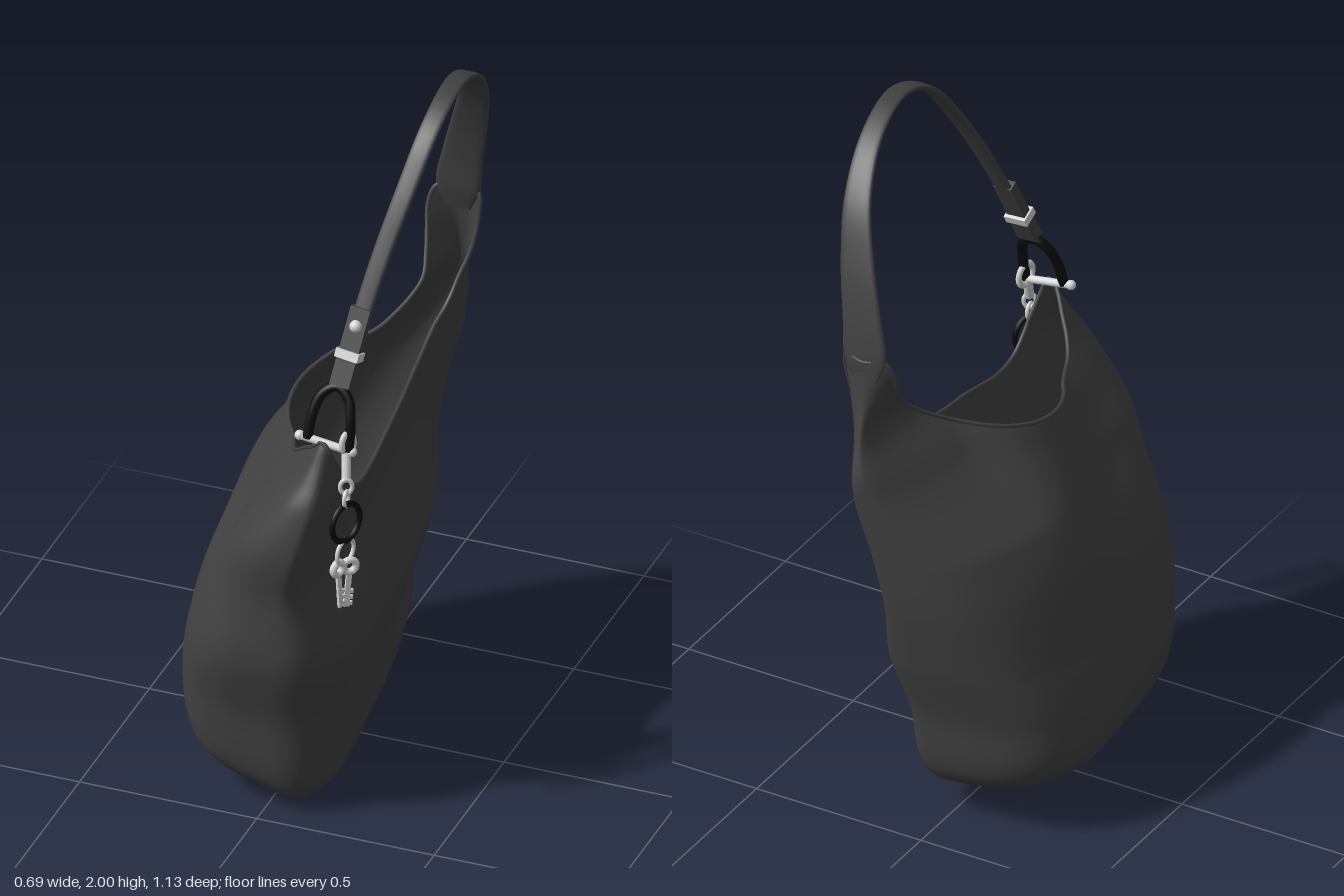
import * as THREE from 'three';

const V = (x, y, z) => new THREE.Vector3(x, y, z);
const clamp01 = t => Math.min(Math.max(t, 0), 1);
const mat = (name, color, side = THREE.FrontSide) => {
  const m = new THREE.MeshStandardMaterial({ color, side });
  m.name = name;
  return m;
};

// Smooth interpolation through rows whose first entry is the key
function sample(rows, t, col) {
  let i = 0;
  while (i < rows.length - 2 && t > rows[i + 1][0]) i++;
  const slope = k => {
    const a = rows[Math.max(k - 1, 0)], b = rows[Math.min(k + 1, rows.length - 1)];
    return (b[col] - a[col]) / (b[0] - a[0]);
  };
  const p = rows[i], q = rows[i + 1], h = q[0] - p[0];
  const u = clamp01((t - p[0]) / h), u2 = u * u, u3 = u2 * u;
  return (2 * u3 - 3 * u2 + 1) * p[col] + (u3 - 2 * u2 + u) * h * slope(i)
    + (3 * u2 - 2 * u3) * q[col] + (u3 - u2) * h * slope(i + 1);
}

// Skin closed rings of points
function loft(rings) {
  const n = rings[0].length, pos = [], idx = [];
  rings.forEach(r => r.forEach(p => pos.push(p.x, p.y, p.z)));
  for (let i = 0; i < rings.length - 1; i++) {
    for (let j = 0; j < n; j++) {
      const a = i * n + j, c = i * n + (j + 1) % n, b = a + n, d = c + n;
      idx.push(a, b, c, b, d, c);
    }
  }
  const g = new THREE.BufferGeometry();
  g.setAttribute('position', new THREE.Float32BufferAttribute(pos, 3));
  g.setIndex(idx);
  g.computeVertexNormals();
  return g;
}

// Bag sections: height, end centre x, low x, high x, back z, front z, roundness
const SECTIONS = [
  [0.00, 0.02, -0.22, 0.10, -0.25, 0.36, 0.60],
  [0.03, 0.00, -0.31, 0.14, -0.34, 0.425, 0.55],
  [0.10, -0.02, -0.35, 0.17, -0.39, 0.47, 0.52],
  [0.30, -0.01, -0.352, 0.195, -0.42, 0.50, 0.57],
  [0.50, 0.03, -0.315, 0.228, -0.47, 0.55, 0.65],
  [0.70, 0.06, -0.255, 0.195, -0.515, 0.545, 0.75],
  [0.85, 0.10, -0.185, 0.195, -0.535, 0.565, 0.80],
  [1.00, 0.14, -0.10, 0.222, -0.555, 0.54, 0.88],
  [1.06, 0.155, -0.07, 0.222, -0.56, 0.51, 0.92],
  [1.10, 0.16, -0.04, 0.222, -0.56, 0.49, 0.95],
  [1.20, 0.17, 0.04, 0.235, -0.53, 0.42, 1.00],
  [1.30, 0.175, 0.05, 0.275, -0.505, 0.15, 1.00],
  [1.42, 0.18, 0.05, 0.30, -0.488, -0.20, 1.00],
];
// Rim height by angle (0 = +x side, 90 = front, 270 = back)
const RIM = [[0, 1.02], [30, 0.97], [60, 1.09], [90, 1.17], [120, 1.12], [150, 1.03], [180, 1.06],
  [210, 1.18], [227, 1.31], [242, 1.42], [270, 1.42], [294, 1.42], [302, 1.32], [314, 1.18],
  [332, 1.10], [360, 1.02]];

const bump = (y, z, y0, z0, sy, sz) => Math.exp(-(((y - y0) / sy) ** 2) - ((z - z0) / sz) ** 2);

function bagPoint(deg, v) {
  const y = sample(RIM, deg, 1) * v ** 1.3;
  const [xc, xl, xr, z0, z1, e] = [1, 2, 3, 4, 5, 6].map(c => sample(SECTIONS, y, c));
  const a = deg * Math.PI / 180, cos = Math.cos(a), sin = Math.sin(a);
  const l = Math.max(0, -cos) ** e;
  const r = Math.max(0, cos) ** (y > 0.7 ? e * (1 - 0.3 * clamp01((y - 0.7) / 0.3)) : e);
  const z = (z0 + z1) / 2 + Math.sign(sin) * Math.abs(sin) ** e * (z1 - z0) / 2;
  let x = xc + r * (xr - xc) - l * (xc - xl);
  // both side panels slant
  x += 0.16 * Math.max(0, z + 0.2) * l * Math.max(0, 1 - y);
  x -= 0.09 * Math.max(0, 0.3 - z) * r * clamp01((1.3 - y) / 0.3) * clamp01((z + 0.5) / 0.2);
  // opening pinches toward both ends
  x += l * Math.min(0.085, 1.6 * (z - 0.02) ** 2) * clamp01((y - 0.85) / 0.2) * clamp01((1.38 - y) / 0.15);
  // soft folds
  x += l * (0.06 * bump(y, z, 0.84, 0.28, 0.13, 0.18) - 0.015 * bump(y, z, 0.8, -0.1, 0.15, 0.15));
  x -= r * (0.02 * bump(y, z, 0.75, 0.28, 0.1, 0.18) + 0.012 * bump(y, z, 0.28, -0.25, 0.07, 0.12));
  // sagging, tilted base
  const f = Math.max(0, 1 - y / 0.5);
  return V(x, y + f * Math.hypot(0.33 * Math.max(0, 0.06 - x), 0.11 * Math.max(0, 0.28 - z)), z);
}

// Flat band swept along a path; stations are x, y, z, width, thickness
function band(stations) {
  const path = new THREE.CatmullRomCurve3(stations.map(s => V(s[0], s[1], s[2])));
  const rows = stations.map((s, i) => [i / (stations.length - 1), s[3], s[4]]);
  const rings = [];
  for (let i = 0; i <= 60; i++) {
    const t = i / 60, p = path.getPoint(t), T = path.getTangent(t);
    const W = V(1, 0, 0).addScaledVector(T, -T.x).normalize(), N = W.clone().cross(T);
    const w = sample(rows, t, 1) / 2, h = sample(rows, t, 2) / 2, ring = [];
    for (let j = 0; j < 16; j++) {
      const a = j / 16 * Math.PI * 2, c = Math.cos(a), s = Math.sin(a);
      ring.push(p.clone().addScaledVector(W, w * Math.sign(c) * Math.abs(c) ** 0.6)
        .addScaledVector(N, -h * Math.sign(s) * Math.abs(s) ** 0.6));
    }
    rings.push(ring);
  }
  return loft(rings);
}

export function createModel() {
  const model = new THREE.Group();
  model.name = 'shoulderBag';
  const leather = mat('charcoal leather', 0x414141, THREE.DoubleSide);
  const silver = mat('silver metal', 0xd6d6d6);
  const black = mat('black metal', 0x0a0a0a);

  const add = (name, geo, m, pos, rot, parent = model) => {
    const mesh = new THREE.Mesh(geo, m);
    mesh.name = name;
    if (pos) mesh.position.set(...pos);
    if (rot) mesh.rotation.set(...rot);
    parent.add(mesh);
    return mesh;
  };
  const rod = (name, a, b, r, m) => {
    const A = V(...a), B = V(...b), d = B.clone().sub(A);
    const mesh = add(name, new THREE.CylinderGeometry(r, r, d.length(), 12), m);
    mesh.position.copy(A).lerp(B, 0.5);
    mesh.quaternion.setFromUnitVectors(V(0, 1, 0), d.normalize());
  };
  const ring = (name, R, r, m, pos, rot, stretch = 1) =>
    add(name, new THREE.TorusGeometry(R, r, 10, 28), m, pos, rot).scale.set(1, stretch, 1);

  // Bag body
  const N = 120, M = 60, rings = [];
  const angles = Array.from({ length: N }, (_, j) => j * 360 / N);
  const base = angles.map(d => bagPoint(d, 0));
  const centre = base.reduce((s, p) => s.add(p), V(0, 0, 0)).divideScalar(N);
  for (const k of [0, 0.35, 0.7]) rings.push(base.map(p => centre.clone().lerp(p, k)));
  for (let i = 0; i <= M; i++) rings.push(angles.map(d => bagPoint(d, i / M)));
  add('bagBody', loft(rings), leather);

  // Rolled hem round the opening
  const rim = new THREE.CatmullRomCurve3(angles.filter((_, j) => j % 2 === 0).map(d => bagPoint(d, 1)), true);
  add('rimHem', new THREE.TubeGeometry(rim, 160, 0.006, 8, true), leather);

  // Shoulder strap, growing out of the back of the bag
  add('shoulderStrap', band([
    [0.178, 1.36, -0.488, 0.07, 0.008],
    [0.182, 1.43, -0.479, 0.126, 0.024],
    [0.20, 1.53, -0.464, 0.116, 0.022],
    [0.235, 1.67, -0.428, 0.1, 0.02],
    [0.275, 1.82, -0.36, 0.08, 0.018],
    [0.305, 1.94, -0.24, 0.064, 0.016],
    [0.318, 1.991, -0.09, 0.056, 0.015],
    [0.312, 1.94, 0.05, 0.056, 0.017],
    [0.287, 1.81, 0.155, 0.055, 0.02],
    [0.252, 1.65, 0.245, 0.052, 0.02],
    [0.222, 1.48, 0.328, 0.05, 0.02],
    [0.205, 1.34, 0.393, 0.05, 0.02],
  ]), leather);

  // Folded strap end with stud and keeper
  const strapEnd = new THREE.Group();
  strapEnd.name = 'strapEnd';
  strapEnd.position.set(0.212, 1.42, 0.36);
  strapEnd.rotation.set(-0.42, 0, -0.12);
  model.add(strapEnd);
  add('strapTab', new THREE.BoxGeometry(0.056, 0.2, 0.03), leather, [0, 0.01, 0], null, strapEnd);
  add('stud', new THREE.SphereGeometry(0.017, 14, 10), silver, [0, 0.06, 0.014], null, strapEnd);
  add('keeper', new THREE.BoxGeometry(0.066, 0.024, 0.05), silver, [0, -0.02, 0], null, strapEnd);
  add('lowerTab', new THREE.BoxGeometry(0.056, 0.07, 0.036), leather, [0, -0.072, 0], null, strapEnd);

  // Stirrup shackle and its cross bar
  const stirrup = new THREE.CatmullRomCurve3([
    V(0.122, 1.172, 0.448), V(0.13, 1.24, 0.43), V(0.15, 1.295, 0.41), V(0.188, 1.318, 0.4),
    V(0.222, 1.29, 0.408), V(0.236, 1.235, 0.428), V(0.237, 1.155, 0.445)]);
  add('stirrupShackle', new THREE.TubeGeometry(stirrup, 40, 0.014, 10), black);
  rod('crossBar', [0.1, 1.175, 0.447], [0.246, 1.153, 0.443], 0.011, silver);
  for (const p of [[0.1, 1.175, 0.447], [0.246, 1.153, 0.443]])
    add('barEnd', new THREE.SphereGeometry(0.014, 12, 8), silver, p);

  // Swivel clasp and links
  ring('claspHook', 0.022, 0.008, silver, [0.232, 1.172, 0.437], [0, 1.2, 0.3], 1.4);
  rod('claspBody', [0.232, 1.15, 0.447], [0.24, 1.085, 0.47], 0.013, silver);
  ring('claspLink', 0.016, 0.006, silver, [0.243, 1.065, 0.477], [0, 0.5, 0], 1.3);
  ring('claspLink', 0.016, 0.006, silver, [0.245, 1.03, 0.482], [0, 1.6, 0], 1.3);

  // Key rings
  ring('blackRing', 0.05, 0.008, black, [0.246, 0.96, 0.486], [0, 1.15, 0], 1.1);
  ring('keyRing', 0.036, 0.006, silver, [0.245, 0.872, 0.488], [0, 1.3, 0]);

  // Keys
  [[0.232, 0.508, 0.08, 1.2], [0.252, 0.475, -0.08, 0.7]].forEach(([x, z, tilt, turn], i) => {
    const key = new THREE.Group();
    key.name = 'key';
    key.position.set(x, 0.828 - i * 0.006, z);
    key.rotation.set(0, turn, tilt);
    model.add(key);
    add('keyBow', new THREE.TorusGeometry(0.018, 0.01, 8, 18), silver, null, null, key);
    add('keyBlade', new THREE.BoxGeometry(0.015, 0.1, 0.008), silver, [0, -0.072, 0], null, key);
    for (let k = 0; k < 3; k++)
      add('keyTooth', new THREE.BoxGeometry(0.01, 0.01, 0.008), silver, [0.011, -0.077 - k * 0.018, 0], null, key);
  });

  return model;
}
